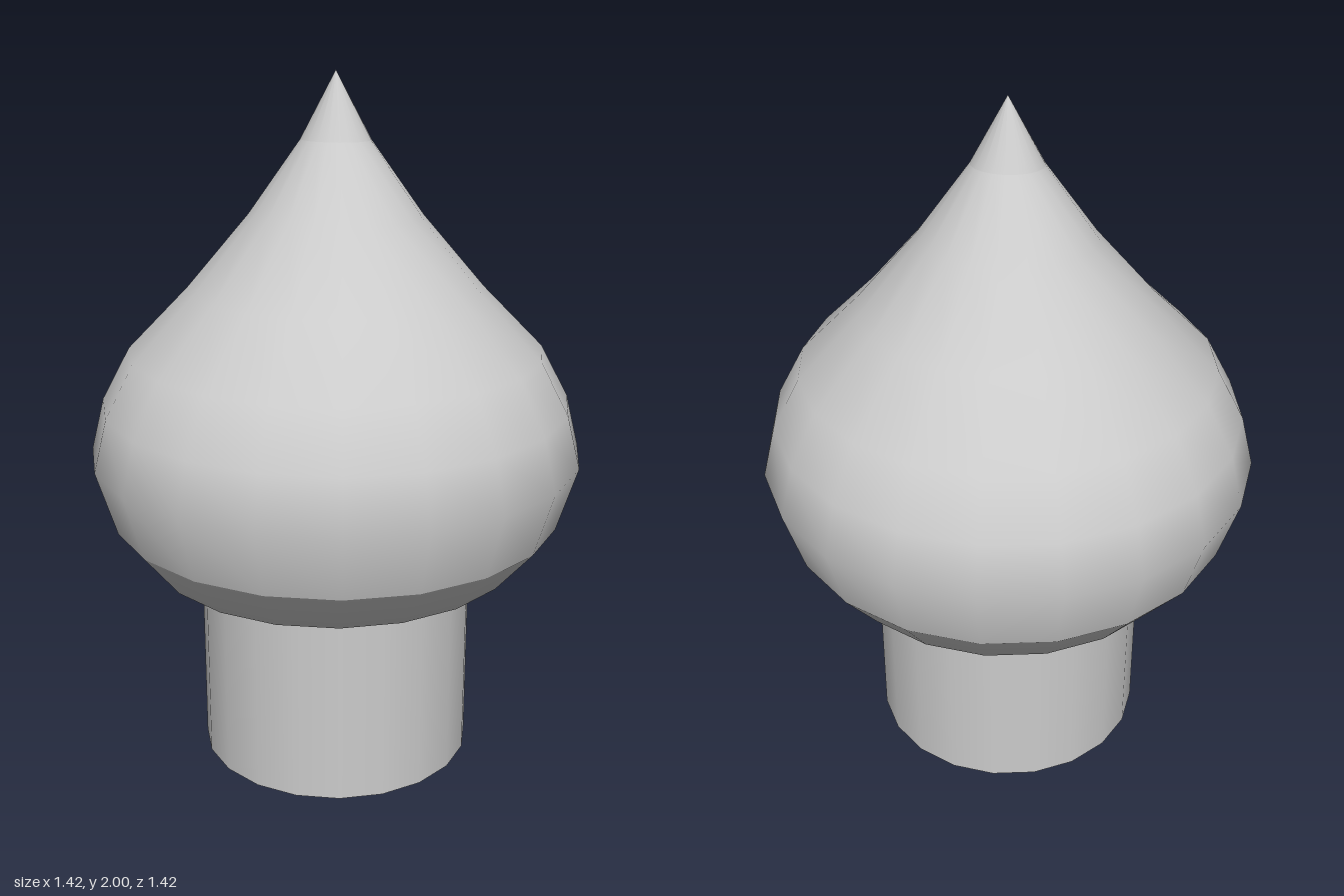
import * as THREE from 'three';

const SIDES = 20;
const material = new THREE.MeshStandardMaterial({ color: 0xcccccc });

// Smooth skin through rings of [height, half-width in x, half-width in z], bottom to top
function ringSkin(name, rings) {
  const points = rings.map(([y, rx]) => new THREE.Vector2(rx, y));
  const geometry = new THREE.LatheGeometry(points, SIDES);
  const pos = geometry.attributes.position;
  for (let i = 0; i < pos.count; i++) {
    const [, rx, rz] = rings[i % rings.length];
    if (rx > 0) pos.setZ(i, pos.getZ(i) * rz / rx);
  }
  const mesh = new THREE.Mesh(geometry, material);
  mesh.name = name;
  return mesh;
}

export function createModel() {
  const group = new THREE.Group();
  group.name = 'onionDome';

  // Drum under the dome
  const drum = new THREE.Mesh(new THREE.CylinderGeometry(0.4, 0.4, 0.56, SIDES), material);
  drum.name = 'drum';
  drum.position.y = 0.28;
  group.add(drum);

  // Dome in three skins, with creases where they meet
  group.add(
    ringSkin('domeUnderside', [[0.557, 0.4, 0.4], [0.615, 0.54, 0.555], [0.742, 0.65, 0.652]]),
    ringSkin('domeBulb', [
      [0.742, 0.65, 0.652], [0.93, 0.708, 0.708], [1.08, 0.67, 0.67], [1.23, 0.59, 0.587],
      [1.405, 0.42, 0.402], [1.61, 0.247, 0.21], [1.815, 0.1, 0.076],
    ]),
    ringSkin('domeTip', [[1.815, 0.1, 0.076], [2, 0, 0]]),
  );
  return group;
}
